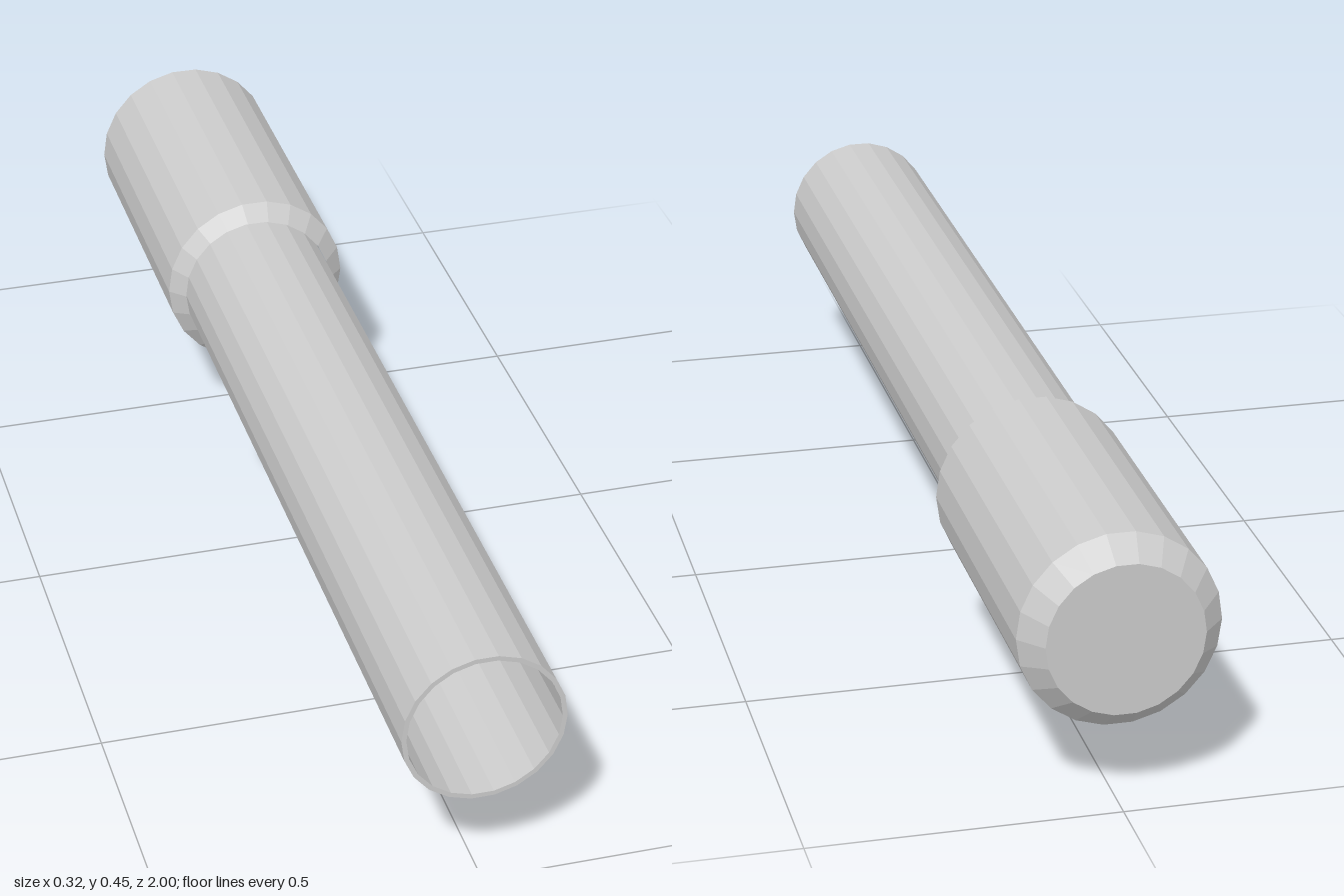
import * as THREE from 'three';

const SIDES = 22;
const material = new THREE.MeshStandardMaterial({ color: 0xcccccc, flatShading: true });

// Turned part along z from [radius, z] pairs, listed back to front on the outside
function turned(name, profile, x, y) {
  const points = profile.map(([r, z]) => new THREE.Vector2(r, z));
  const geometry = new THREE.LatheGeometry(points, SIDES, Math.PI / 2);
  geometry.rotateX(Math.PI / 2);
  const mesh = new THREE.Mesh(geometry, material);
  mesh.name = name;
  mesh.position.set(x, y, 0);
  return mesh;
}

// Flat plate drawn as [z, y] corners, given thickness across x
function plate(name, corners, width, centreX) {
  const shape = new THREE.Shape(corners.map(([z, y]) => new THREE.Vector2(z, y)));
  const geometry = new THREE.ExtrudeGeometry(shape, { depth: width, bevelEnabled: false });
  geometry.translate(0, 0, -width / 2).rotateY(-Math.PI / 2);
  const mesh = new THREE.Mesh(geometry, material);
  mesh.name = name;
  mesh.position.x = centreX;
  return mesh;
}

export function createModel() {
  const model = new THREE.Group();
  model.name = 'launcherTube';

  // Hollow front barrel with a thin wall and a closed floor
  model.add(turned('barrel', [
    [0.133, -0.41], [0.133, 1], [0.125, 1], [0.125, -0.39], [0, -0.39],
  ], -0.003, 0.295));

  // Wider rear housing, chamfered at both ends
  model.add(turned('rearHousing', [
    [0, -1], [0.126, -1], [0.162, -0.96], [0.162, -0.415], [0.132, -0.385],
  ], 0, 0.293));

  // Slanted grip with clipped lower corners
  model.add(plate('grip', [
    [-0.16, 0.175], [-0.217, 0.022], [-0.232, 0.008], [-0.254, 0], [-0.29, 0],
    [-0.302, 0.012], [-0.3, 0.024], [-0.234, 0.175],
  ], 0.04, -0.005));

  // L-shaped guard in front of the grip
  model.add(plate('triggerGuard', [
    [-0.094, 0.175], [-0.094, 0.088], [-0.11, 0.07], [-0.21, 0.07],
    [-0.2, 0.094], [-0.116, 0.094], [-0.116, 0.175],
  ], 0.04, -0.005));

  return model;
}
